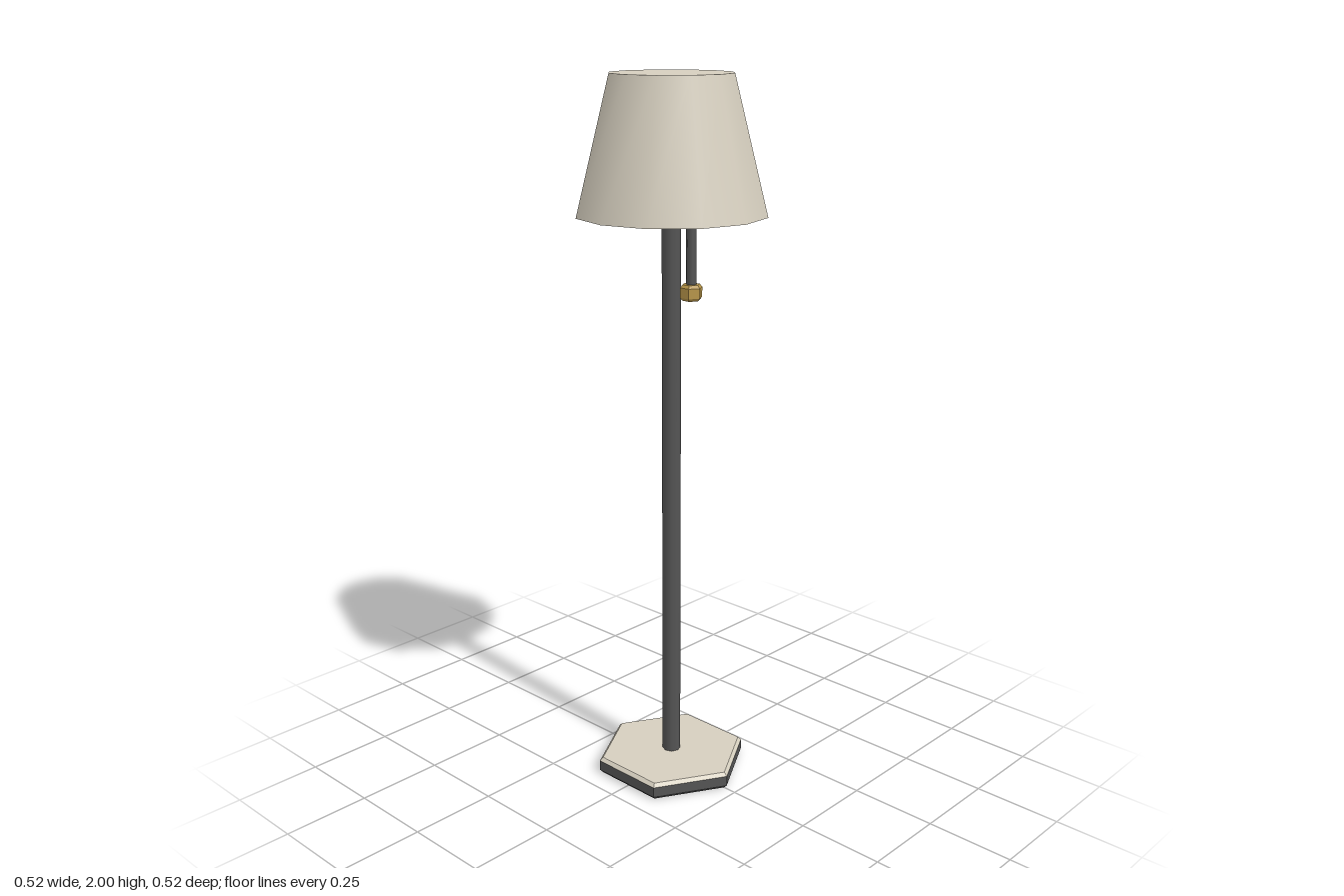
import * as THREE from 'three';

export function createModel() {
  const mat = (name, color, flatShading = false) => {
    const m = new THREE.MeshStandardMaterial({ color });
    m.name = name;
    m.flatShading = flatShading;
    return m;
  };
  const fabric = mat('creamFabric', 0xd6cfbf);
  const metal = mat('darkMetal', 0x555555);
  const brass = mat('brass', 0xb8964a, true);
  const glow = mat('warmLight', 0xd8cc98);

  const lamp = new THREE.Group();
  lamp.name = 'floorLamp';
  const add = (name, geometry, material, x = 0, y = 0) => {
    const mesh = new THREE.Mesh(geometry, material);
    mesh.name = name;
    mesh.position.set(x, y, 0);
    lamp.add(mesh);
    return mesh;
  };
  // Faceted turned part with a corner on the x axis
  const turned = (points, sides) => {
    const g = new THREE.LatheGeometry(
      points.map(([r, y]) => new THREE.Vector2(r, y)), sides, Math.PI / 2).toNonIndexed();
    g.computeVertexNormals();
    return g;
  };

  // Hexagonal foot with chamfered edges and a cream top plate
  add('base', turned([[0, 0], [0.21, 0], [0.22, 0.01], [0.22, 0.04]], 6), metal);
  add('baseTop', turned([[0.22, 0.04], [0.21, 0.05], [0, 0.05]], 6), fabric);

  // Pole
  add('pole', new THREE.CylinderGeometry(0.026, 0.026, 1.6, 8), metal, 0, 0.84);

  // Twelve-sided closed shade
  add('shade', new THREE.CylinderGeometry(0.167, 0.26, 0.365, 12), fabric, 0, 1.8175);

  // Light opening set in the underside
  const lightDisc = add('lightDisc', new THREE.CircleGeometry(0.125, 12), glow, 0, 1.633);
  const lightRim = add('lightRim', new THREE.RingGeometry(0.125, 0.144, 12), metal, 0, 1.633);
  lightDisc.rotation.x = lightRim.rotation.x = Math.PI / 2;

  // Pull cord and its faceted knob
  add('pullCord', new THREE.CylinderGeometry(0.014, 0.014, 0.19, 6), metal, 0.072, 1.54);
  add('pullKnob', turned([[0, 1.415], [0.024, 1.415], [0.031, 1.423], [0.031, 1.45],
    [0.024, 1.458], [0, 1.458]], 6), brass, 0.072);

  return lamp;
}
